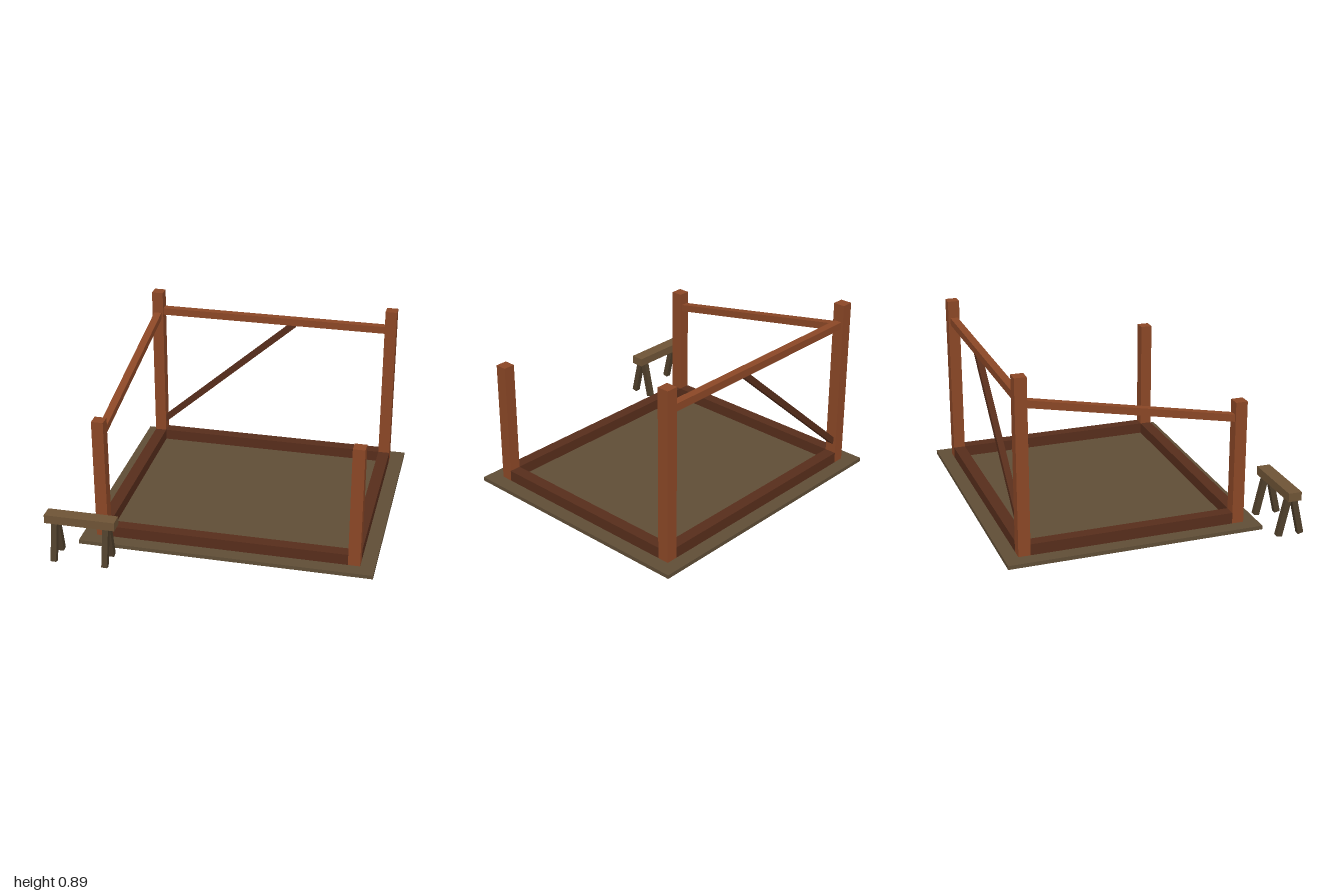
import * as THREE from 'three';

const mat = (color) => new THREE.MeshStandardMaterial({ color, flatShading: true });

export function createModel() {
  const root = new THREE.Group();
  root.name = 'timberFrame';
  const timber = mat(0x8b4726), dark = mat(0x572d1b), floorMat = mat(0x5f4d36);
  const bench = mat(0x6e5436), benchDark = mat(0x4f3f2b);

  // Whole site is turned 30 degrees about the vertical
  const site = new THREE.Group();
  site.name = 'site';
  site.rotation.y = Math.PI / 6;
  site.position.set(0, 0, -0.1);
  root.add(site);

  // Upright box given by its base height and top height
  const block = (parent, name, w, d, y0, y1, x, z, m) => {
    const b = new THREE.Mesh(new THREE.BoxGeometry(w, y1 - y0, d), m);
    b.name = name;
    b.position.set(x, (y0 + y1) / 2, z);
    parent.add(b);
  };
  // Square-cut timber running from a to b
  const beam = (parent, name, a, b, w, h, m) => {
    const p = new THREE.Vector3(...a), q = new THREE.Vector3(...b);
    const g = new THREE.Mesh(new THREE.BoxGeometry(w, h, p.distanceTo(q)), m);
    g.name = name;
    g.position.copy(p).add(q).multiplyScalar(0.5);
    g.quaternion.setFromRotationMatrix(
      new THREE.Matrix4().lookAt(q, p, new THREE.Vector3(0, 1, 0)));
    parent.add(g);
  };

  const X = 0.617, Z = 0.529, S = 0.058;

  // Floor slab
  block(site, 'floor', 1.432, 1.252, 0.012, 0.031, 0, 0, floorMat);

  // Corner posts (tall at the back) and ground sills
  for (const s of [-1, 1]) {
    block(site, 'backPost', S, S, 0.03, 0.89, s * X, -Z, timber);
    block(site, 'frontPost', S, S, 0.03, 0.645, s * X, Z, timber);
    block(site, 'longSill', 2 * X - S, S, 0.02, 0.086, 0, s * Z, dark);
    block(site, 'sideSill', S, 2 * Z - S, 0.02, 0.086, s * X, 0, dark);
  }

  // Back rail, sloping side rail and diagonal brace
  beam(site, 'backRail', [-X, 0.784, -Z], [X, 0.784, -Z], 0.038, 0.037, timber);
  beam(site, 'slopingRail', [-X, 0.766, -Z], [-X, 0.56, Z], 0.038, 0.035, timber);
  beam(site, 'brace', [-0.595, 0.145, -Z], [0.115, 0.77, -Z], 0.03, 0.03, dark);

  // Sawhorse with two pairs of splayed legs
  const horse = new THREE.Group();
  horse.name = 'sawhorse';
  horse.position.set(-0.659, 0, 0.7315);
  site.add(horse);
  block(horse, 'sawhorseTop', 0.345, 0.066, 0.192, 0.235, 0, 0, bench);
  for (const x of [-0.126, 0.126])
    for (const s of [-1, 1])
      beam(horse, 'sawhorseLeg', [x, 0.004, s * 0.056], [x, 0.205, s * 0.01], 0.028, 0.028, benchDark);

  return root;
}
